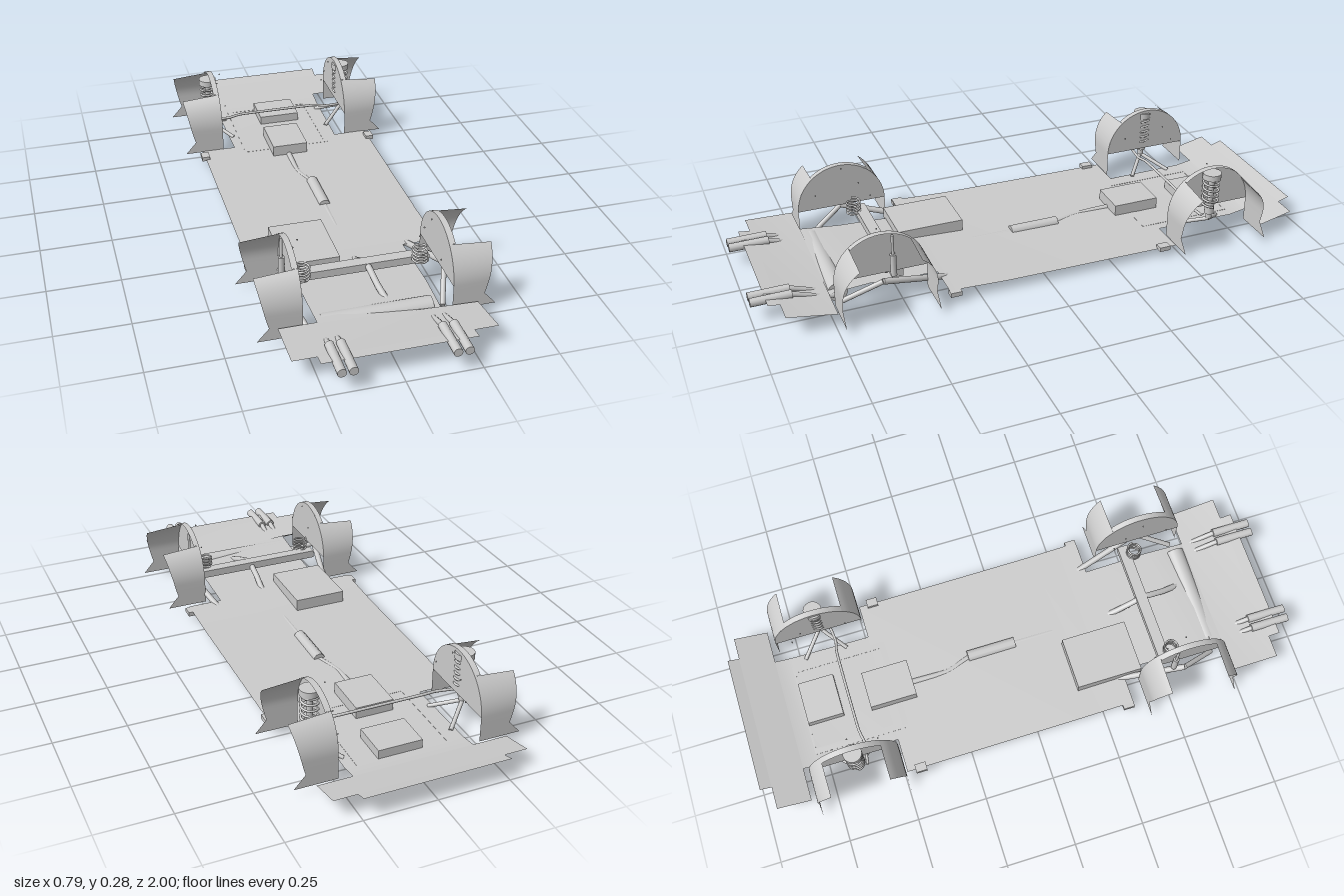
import * as THREE from 'three';

const grey = new THREE.MeshStandardMaterial({ color: 0xcccccc, side: THREE.DoubleSide });
const V = (p) => new THREE.Vector3(...p);

function add(parent, name, geometry, x = 0, y = 0, z = 0) {
  const mesh = new THREE.Mesh(geometry, grey);
  mesh.name = name;
  mesh.position.set(x, y, z);
  parent.add(mesh);
  return mesh;
}

const box = (parent, name, w, h, d, x, y, z) =>
  add(parent, name, new THREE.BoxGeometry(w, h, d), x, y, z);

// Smooth round tube through a few points
function tube(parent, name, points, radius, segments = 24) {
  const curve = new THREE.CatmullRomCurve3(points.map(V), false, 'catmullrom', 0.3);
  return add(parent, name, new THREE.TubeGeometry(curve, segments, radius, 10, false));
}

// Straight solid rod between two points
function rod(parent, name, a, b, radius) {
  const from = V(a), dir = V(b).sub(from);
  const mesh = add(parent, name, new THREE.CylinderGeometry(radius, radius, dir.length(), 12));
  mesh.position.copy(from).addScaledVector(dir, 0.5);
  mesh.quaternion.setFromUnitVectors(new THREE.Vector3(0, 1, 0), dir.normalize());
  return mesh;
}

// Thin sheet spanned between pairs of edge points [left, right]
function sheet(parent, name, pairs) {
  const positions = [], index = [];
  pairs.forEach(([a, b], i) => {
    positions.push(...a, ...b);
    if (i) {
      const k = i * 2;
      index.push(k - 2, k, k - 1, k - 1, k, k + 1);
    }
  });
  const g = new THREE.BufferGeometry();
  g.setAttribute('position', new THREE.Float32BufferAttribute(positions, 3));
  g.setIndex(index);
  g.computeVertexNormals();
  return add(parent, name, g);
}

function coil(parent, name, x, z, y0, y1, radius, turns, wire) {
  const points = [];
  for (let i = 0; i <= turns * 12; i++) {
    const a = (i / 12) * Math.PI * 2;
    points.push([x + radius * Math.cos(a), y0 + ((y1 - y0) * i) / (turns * 12), z + radius * Math.sin(a)]);
  }
  return tube(parent, name, points, wire, turns * 20);
}

// Half-round inner wall with curved liners fore and aft and a narrow top lip
function wheelArch(parent, zc) {
  const arch = new THREE.Group();
  arch.name = 'wheelArch';
  arch.position.z = zc;
  parent.add(arch);
  const R = 0.16, yc = 0.115, inner = 0.247;
  const wall = add(arch, 'archWall', new THREE.CircleGeometry(R, 40, 0, Math.PI), inner, yc, 0);
  wall.rotation.y = Math.PI / 2;
  const outerX = (y) => y > 0.07 ? 0.355 + 0.035 * Math.pow((y - 0.07) / 0.16, 0.85) : 0.355 + 0.04 * (0.07 - y) / 0.045;
  for (const s of [1, -1]) {
    const pairs = [];
    for (let i = 0; i <= 10; i++) {
      const a = 0.87 * (1 - i / 10);
      const y = yc + R * Math.sin(a), z = s * R * Math.cos(a);
      const drop = 0.012 * (1 - i / 10);
      pairs.push([[inner, y, z], [outerX(y - drop), y - drop, z]]);
    }
    for (const y of [0.09, 0.07, 0.045, 0.025])
      pairs.push([[inner, y, s * R], [outerX(y), y, s * R]]);
    sheet(arch, 'archLiner', pairs);
  }
  const lip = [];
  for (let i = 0; i <= 12; i++) {
    const a = 0.87 + (i / 12) * (Math.PI - 1.74);
    const p = [yc + R * Math.sin(a), R * Math.cos(a)];
    lip.push([[inner, ...p], [0.268, ...p]]);
  }
  sheet(arch, 'archLip', lip);
  for (const [y, z] of [[0.145, -0.1], [0.183, 0.1], [0.205, -0.06], [0.273, 0]])
    add(arch, 'bolt', new THREE.SphereGeometry(0.003, 8, 6), 0.223, y, z);
}

// Suspension, arches and tail pipes of one side
function side() {
  const g = new THREE.Group();
  g.name = 'sideAssembly';
  wheelArch(g, -0.655);
  wheelArch(g, 0.57);

  // Front strut, spring and A-arm
  const sx = 0.272, sz = -0.65;
  add(g, 'strutCap', new THREE.CylinderGeometry(0.033, 0.033, 0.022, 24), sx, 0.252, sz);
  rod(g, 'strut', [sx, 0.08, sz], [sx, 0.25, sz], 0.011);
  rod(g, 'strutBody', [sx, 0.1, sz], [sx, 0.145, sz], 0.017);
  coil(g, 'frontSpring', sx, sz, 0.135, 0.24, 0.028, 5, 0.004);
  for (const z of [-0.73, -0.575])
    rod(g, 'frontControlArm', [0.275, 0.078, sz], [0.19, 0.03, z], 0.007);

  // Rear spring, damper and trailing arms
  coil(g, 'rearSpring', 0.2, 0.54, 0.1, 0.15, 0.024, 4, 0.0035);
  rod(g, 'rearDamper', [0.265, 0.11, 0.53], [0.265, 0.19, 0.53], 0.011);
  rod(g, 'rearDamperRod', [0.265, 0.18, 0.53], [0.265, 0.262, 0.53], 0.005);
  rod(g, 'trailingArm', [0.215, 0.022, 0.29], [0.275, 0.1, 0.57], 0.011);
  rod(g, 'rearLink', [0.275, 0.1, 0.57], [0.225, 0.025, 0.7], 0.009);
  box(g, 'armBracket', 0.035, 0.025, 0.03, 0.222, 0.02, 0.3);

  // Jacking tabs
  for (const z of [-0.44, 0.34]) box(g, 'jackingTab', 0.03, 0.016, 0.04, 0.33, 0.034, z);

  // Twin tail pipes
  for (const x of [0.163, 0.2])
    tube(g, 'tailPipe', [[x, 0.035, 0.71], [x, 0.045, 0.77], [x, 0.075, 0.86], [x, 0.075, 0.92]], 0.009);
  for (const x of [0.163, 0.2])
    rod(g, 'tailPipeTip', [x, 0.076, 0.86], [x, 0.075, 1], 0.015);
  return g;
}

export function createModel() {
  const model = new THREE.Group();
  model.name = 'carUndercarriage';

  // Floor pan: z, half width, height, twist; repeated z gives the stepped outline
  const pan = [
    [-1, 0.25, 0.08], [-0.96, 0.25, 0.068], [-0.96, 0.33, 0.068], [-0.9, 0.33, 0.054], [-0.84, 0.33, 0.04],
    [-0.84, 0.21, 0.04], [-0.78, 0.21, 0.03], [-0.49, 0.205, 0.03], [-0.49, 0.33, 0.03],
    [0.15, 0.33, 0.036], [0.36, 0.33, 0.045], [0.36, 0.205, 0.045], [0.6, 0.205, 0.057],
    [0.74, 0.205, 0.06, 0.012], [0.74, 0.33, 0.06, 0.012], [0.91, 0.33, 0.077],
    [0.91, 0.25, 0.077], [0.95, 0.25, 0.082],
  ];
  sheet(model, 'floorPan', pan.map(([z, w, y, t = 0]) => [[-w, y + t, z], [w, y - t, z]]));

  // Left and mirrored right side
  const left = side(), right = side();
  right.scale.x = -1;
  model.add(left, right);

  // Axle beam and front anti-roll bar
  box(model, 'rearAxleBeam', 0.475, 0.028, 0.04, 0, 0.096, 0.51);
  tube(model, 'antiRollBar', [[-0.28, 0.1, -0.615], [-0.2, 0.103, -0.605], [-0.14, 0.108, -0.613],
    [0.14, 0.108, -0.613], [0.2, 0.103, -0.605], [0.28, 0.1, -0.615]], 0.005, 40);

  // Housings on the floor
  box(model, 'frontHousing', 0.155, 0.04, 0.13, 0.017, 0.042, -0.715);
  box(model, 'gearboxHousing', 0.135, 0.05, 0.17, -0.005, 0.046, -0.465);
  box(model, 'fuelTank', 0.19, 0.05, 0.24, -0.133, 0.055, 0.303);

  // Front subframe
  for (const x of [-0.16, 0.16]) box(model, 'subframeRail', 0.022, 0.018, 0.36, x, 0.022, -0.62);
  for (const z of [-0.79, -0.45]) box(model, 'subframeCrossMember', 0.32, 0.018, 0.022, 0, 0.022, z);

  // Exhaust line from gearbox to muffler
  tube(model, 'exhaustPipe', [[-0.01, 0.03, -0.42], [-0.01, 0.024, -0.25], [0.022, 0.026, -0.14],
    [0.022, 0.026, 0.05], [0.022, 0.03, 0.36], [0.022, 0.07, 0.45], [0.026, 0.1, 0.52],
    [0.035, 0.075, 0.6], [0.055, 0.04, 0.69]], 0.011, 60);
  rod(model, 'catalyticConverter', [0.022, 0.03, -0.16], [0.022, 0.03, 0.02], 0.021);
  rod(model, 'muffler', [-0.184, 0.035, 0.705], [0.184, 0.035, 0.705], 0.035).geometry =
    new THREE.CylinderGeometry(0.035, 0.035, 0.368, 32);
  return model;
}
